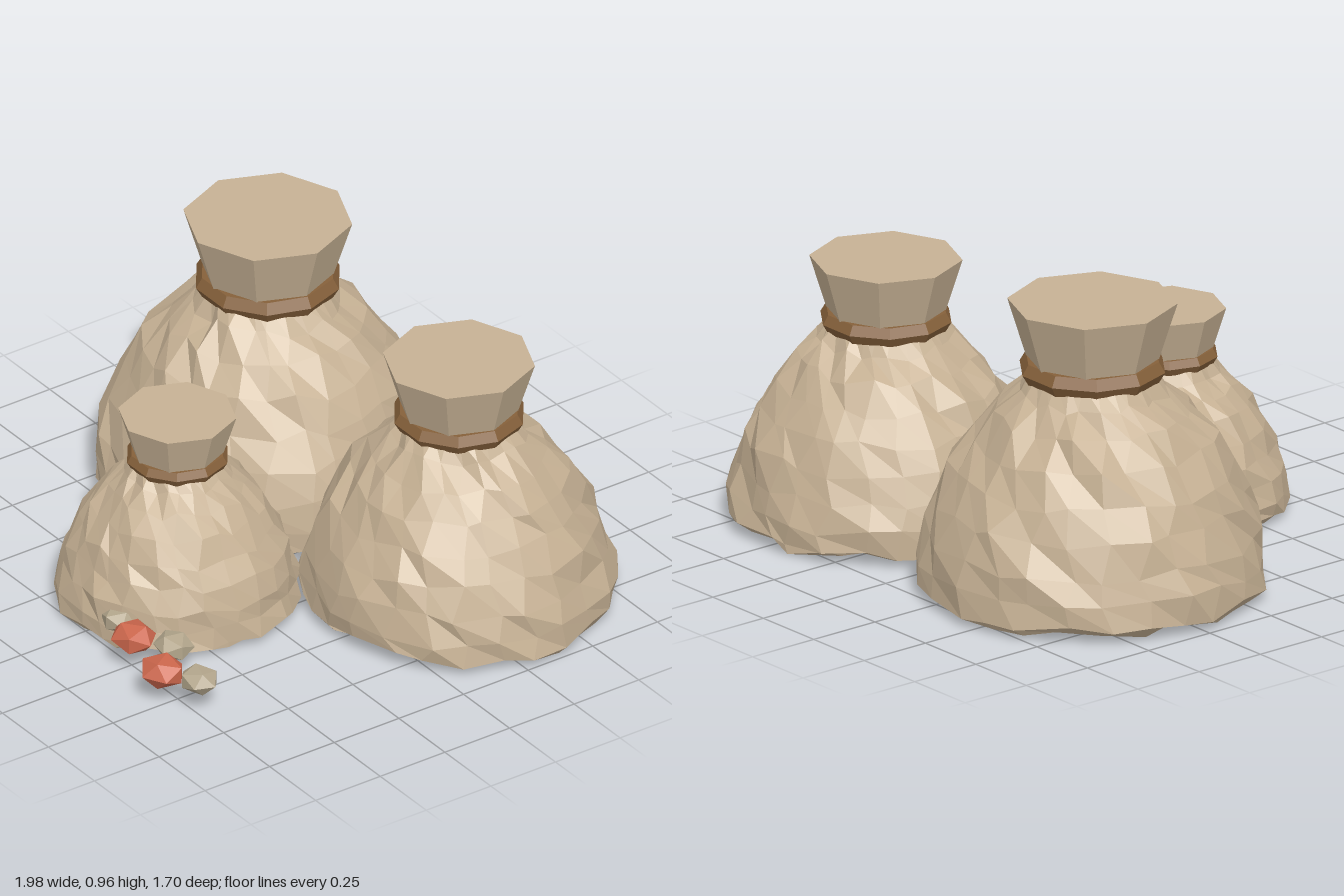
import * as THREE from 'three';

const cloth = new THREE.MeshStandardMaterial({ name: 'sackcloth', color: 0xc6b194, flatShading: true });
const rope = new THREE.MeshStandardMaterial({ name: 'rope brown', color: 0x85603a, flatShading: true });
const red = new THREE.MeshStandardMaterial({ name: 'red stone', color: 0xcb664c, flatShading: true });
const beige = new THREE.MeshStandardMaterial({ name: 'beige stone', color: 0xb3a68c, flatShading: true });

// Repeatable noise in -1..1
function noise(a, b, c) {
  const s = Math.sin(a * 127.1 + b * 311.7 + c * 74.7) * 43758.5453;
  return (s - Math.floor(s)) * 2 - 1;
}

function faceted(geometry) {
  const g = geometry.index ? geometry.toNonIndexed() : geometry;
  g.computeVertexNormals();
  return g;
}

function part(name, geometry, material, parent) {
  const mesh = new THREE.Mesh(geometry, material);
  mesh.name = name;
  parent.add(mesh);
  return mesh;
}

// Sack outline (radius, height), from the middle of the base up to the neck
const BASE_ROWS = 7;
const PROFILE = [
  [0, 0.025], [0.09, 0.025], [0.18, 0.025], [0.27, 0.025], [0.36, 0.025], [0.45, 0.025], [0.52, 0.022],
  [0.555, 0.045], [0.55, 0.12], [0.527, 0.21], [0.492, 0.31], [0.445, 0.41],
  [0.385, 0.51], [0.315, 0.6], [0.24, 0.67], [0.19, 0.74],
].map(([r, y]) => new THREE.Vector2(r, y));

// Lathed body with each vertex nudged for crumpled cloth
function bodyGeometry(seed) {
  const segments = 26, rows = PROFILE.length;
  const g = new THREE.LatheGeometry(PROFILE, segments);
  const p = g.attributes.position;
  for (let i = 0; i < p.count; i++) {
    const row = i % rows;
    const col = Math.floor(i / rows) % segments;
    if (row === 0 || row === rows - 1) continue;
    const base = row < BASE_ROWS;
    const radius = PROFILE[row].x;
    const angle = (col / segments) * Math.PI * 2 + noise(col, row, seed + 1) * 0.07;
    const r = radius + noise(col, row, seed + 2) * (base ? 0.03 : 0.017);
    const y = PROFILE[row].y + noise(col, row, seed + 3) * (base ? 0.022 : 0.02);
    p.setXYZ(i, Math.sin(angle) * r, Math.max(0, y), Math.cos(angle) * r);
  }
  return faceted(g);
}

function sack(name, x, z, scale, seed) {
  const group = new THREE.Group();
  group.name = name;
  part('sackBody', bodyGeometry(seed), cloth, group);

  // Flared, closed mouth above the tie
  const mouth = part('sackMouth', faceted(new THREE.CylinderGeometry(0.27, 0.195, 0.24, 8)), cloth, group);
  mouth.position.y = 0.838;

  // Rope ring around the neck
  const tie = part('ropeTie', faceted(new THREE.TorusGeometry(0.197, 0.04, 6, 10).rotateX(Math.PI / 2)), rope, group);
  tie.position.y = 0.737;

  group.position.set(x, 0, z);
  group.scale.setScalar(scale);
  return group;
}

// Small squashed stones
function stone(name, x, z, size, material, turn) {
  const g = new THREE.IcosahedronGeometry(size, 0);
  g.rotateY(turn);
  g.scale(1, 0.64, 0.92);
  const mesh = new THREE.Mesh(faceted(g), material);
  mesh.name = name;
  mesh.position.set(x, 0.1, z);
  return mesh;
}

export function createModel() {
  const model = new THREE.Group();
  model.name = 'sackPile';
  model.add(
    sack('largeSack', -0.43, -0.26, 1, 3),
    sack('mediumSack', 0.49, -0.345, 0.9, 11),
    sack('smallSack', -0.015, 0.385, 0.7, 23),
  );
  const stones = [
    [0.13, 0.71, 0.068, beige], [0.245, 0.74, 0.08, red], [0.36, 0.665, 0.07, beige],
    [0.465, 0.785, 0.082, red], [0.575, 0.72, 0.07, beige],
  ];
  stones.forEach(([x, z, size, material], i) => {
    model.add(stone(material === red ? 'redStone' : 'beigeStone', x, z, size, material, i * 0.7));
  });
  return model;
}
